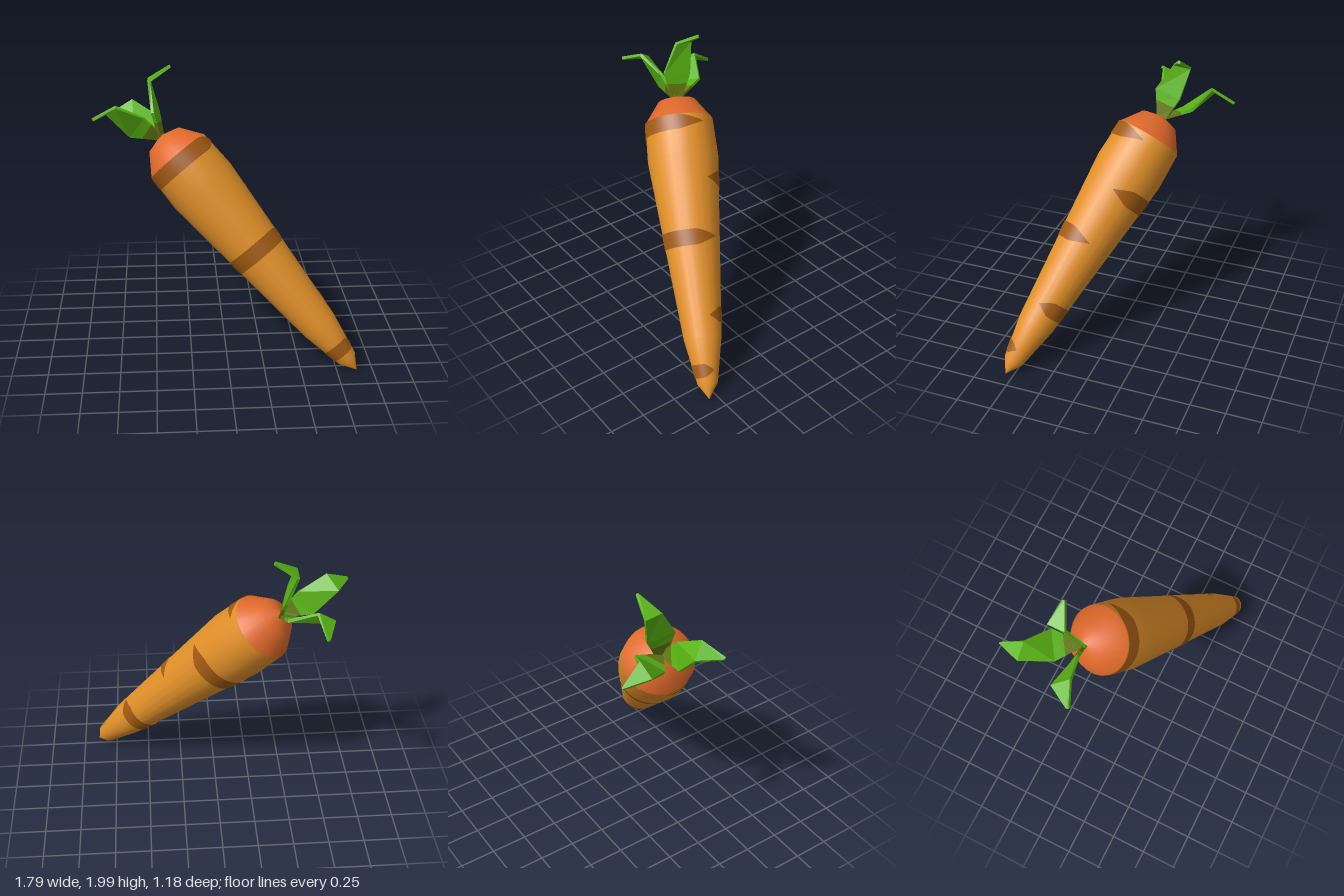
import * as THREE from 'three';

const mat = (name, color, side = THREE.FrontSide) => {
  const m = new THREE.MeshStandardMaterial({ color, side });
  m.name = name;
  return m;
};

// Root profile: [radius, distance from the tip]
const PROFILE = [[0, 0], [0.07, 0.105], [0.13, 0.41], [0.25, 1.67], [0.24, 1.94], [0.135, 2.09], [0, 2.13]];

function radiusAt(s) {
  for (let i = 1; i < PROFILE.length; i++) {
    const [r0, s0] = PROFILE[i - 1], [r1, s1] = PROFILE[i];
    if (s <= s1) return r0 + (r1 - r0) * (s - s0) / (s1 - s0);
  }
  return 0;
}

const lathe = (from, to) =>
  new THREE.LatheGeometry(PROFILE.slice(from, to).map(p => new THREE.Vector2(...p)), 24);

// Thin painted band hugging the root, tapering to a point at both ends
function stripeGeometry(center, half, startDeg, endDeg) {
  const n = 32, start = THREE.MathUtils.degToRad(startDeg);
  const length = THREE.MathUtils.degToRad(endDeg - startDeg);
  const rows = [-1, 0, 1].map(y => new THREE.Vector2(1, y));
  const geo = new THREE.LatheGeometry(rows, n, start, length);
  const pos = geo.attributes.position;
  for (let k = 0; k < pos.count; k++) {
    const t = Math.floor(k / 3) / n, a = start + t * length;
    const taper = Math.min(1, Math.sin(Math.PI * t) * 1.7);
    const s = center + pos.getY(k) * half * taper;
    const r = radiusAt(s) + 0.004;
    pos.setXYZ(k, r * Math.sin(a), s, r * Math.cos(a));
  }
  geo.computeVertexNormals();
  return geo;
}

// Flat-faced solid strip through pairs of edge points
function bladeGeometry(sections) {
  const half = 0.011, verts = [];
  const mids = sections.map(([a, b]) => a.clone().add(b).multiplyScalar(0.5));
  const rings = sections.map(([a, b], i) => {
    const along = mids[Math.min(i + 1, mids.length - 1)].clone().sub(mids[Math.max(i - 1, 0)]);
    const n = b.clone().sub(a).cross(along).normalize().multiplyScalar(half);
    return [a.clone().add(n), b.clone().add(n), b.clone().sub(n), a.clone().sub(n)];
  });
  const quad = (a, b, c, d) => [a, b, c, a, c, d].forEach(p => verts.push(p.x, p.y, p.z));
  for (let i = 0; i + 1 < rings.length; i++) {
    const p = rings[i], q = rings[i + 1];
    for (let j = 0; j < 4; j++) quad(p[j], p[(j + 1) % 4], q[(j + 1) % 4], q[j]);
  }
  quad(...rings[0].slice().reverse());
  quad(...rings[rings.length - 1]);
  const geo = new THREE.BufferGeometry();
  geo.setAttribute('position', new THREE.Float32BufferAttribute(verts, 3));
  geo.computeVertexNormals();
  return geo;
}

// Leaf edge points: base, widest part, bend, tip
const LEAVES = {
  sideLeaf: [
    [[-0.43, 1.54, -0.10], [-0.44, 1.50, -0.12]],
    [[-0.55, 1.67, -0.08], [-0.65, 1.52, -0.13]],
    [[-0.74, 1.765, -0.03], [-0.81, 1.69, -0.135]],
    [[-0.89, 1.70, 0.035], [-0.895, 1.69, 0.02]],
  ],
  uprightLeaf: [
    [[-0.44, 1.52, -0.09], [-0.42, 1.51, -0.16]],
    [[-0.49, 1.71, -0.06], [-0.45, 1.67, -0.25]],
    [[-0.51, 1.90, -0.18], [-0.51, 1.89, -0.305]],
    [[-0.36, 1.99, -0.255], [-0.36, 1.985, -0.27]],
  ],
  backLeaf: [
    [[-0.45, 1.51, -0.12], [-0.42, 1.52, -0.15]],
    [[-0.62, 1.53, -0.23], [-0.45, 1.60, -0.34]],
    [[-0.745, 1.63, -0.42], [-0.63, 1.70, -0.43]],
    [[-0.685, 1.59, -0.585], [-0.675, 1.595, -0.585]],
  ],
};

export function createModel() {
  const orange = mat('root orange', 0xe29029);
  const red = mat('crown red orange', 0xe0692a);
  const brown = mat('stripe brown', 0xa05a12, THREE.DoubleSide);
  const green = mat('leaf green', 0x5ab414, THREE.DoubleSide);
  const olive = mat('leaf base olive', 0x667a12, THREE.DoubleSide);

  const model = new THREE.Group();
  model.name = 'carrot';
  const add = (parent, name, geo, material) => {
    const mesh = new THREE.Mesh(geo, material);
    mesh.name = name;
    parent.add(mesh);
  };

  // Leaning root, built along its own y axis from the tip
  const root = new THREE.Group();
  root.name = 'root';
  const axis = new THREE.Vector3(-0.623, 0.713, -0.321).normalize();
  const side = new THREE.Vector3(axis.y, -axis.x, 0).normalize();
  const front = side.clone().cross(axis);
  root.quaternion.setFromRotationMatrix(new THREE.Matrix4().makeBasis(side, axis, front));
  root.position.set(0.89, 0.01, 0.56);
  add(root, 'rootBody', lathe(0, 5), orange);
  add(root, 'crown', lathe(4, 7), red);

  // Stripes alternate between the front and the back
  [[1.885, 0.055, -105, 106], [1.49, 0.06, 103, 278], [1.085, 0.055, -108, 120],
    [0.555, 0.055, 88, 275], [0.19, 0.045, -105, 100]]
    .forEach((s, i) => add(root, `stripe${i + 1}`, stripeGeometry(...s), brown));
  model.add(root);

  // Leaves, each with a darker base
  for (const [name, points] of Object.entries(LEAVES)) {
    const leaf = new THREE.Group();
    leaf.name = name;
    const sections = points.map(pair => pair.map(p => new THREE.Vector3(...p)));
    const split = [0, 1].map(k => sections[0][k].clone().lerp(sections[1][k], 0.6));
    add(leaf, `${name}Base`, bladeGeometry([sections[0], split]), olive);
    add(leaf, `${name}Blade`, bladeGeometry([split, ...sections.slice(1)]), green);
    model.add(leaf);
  }
  return model;
}
